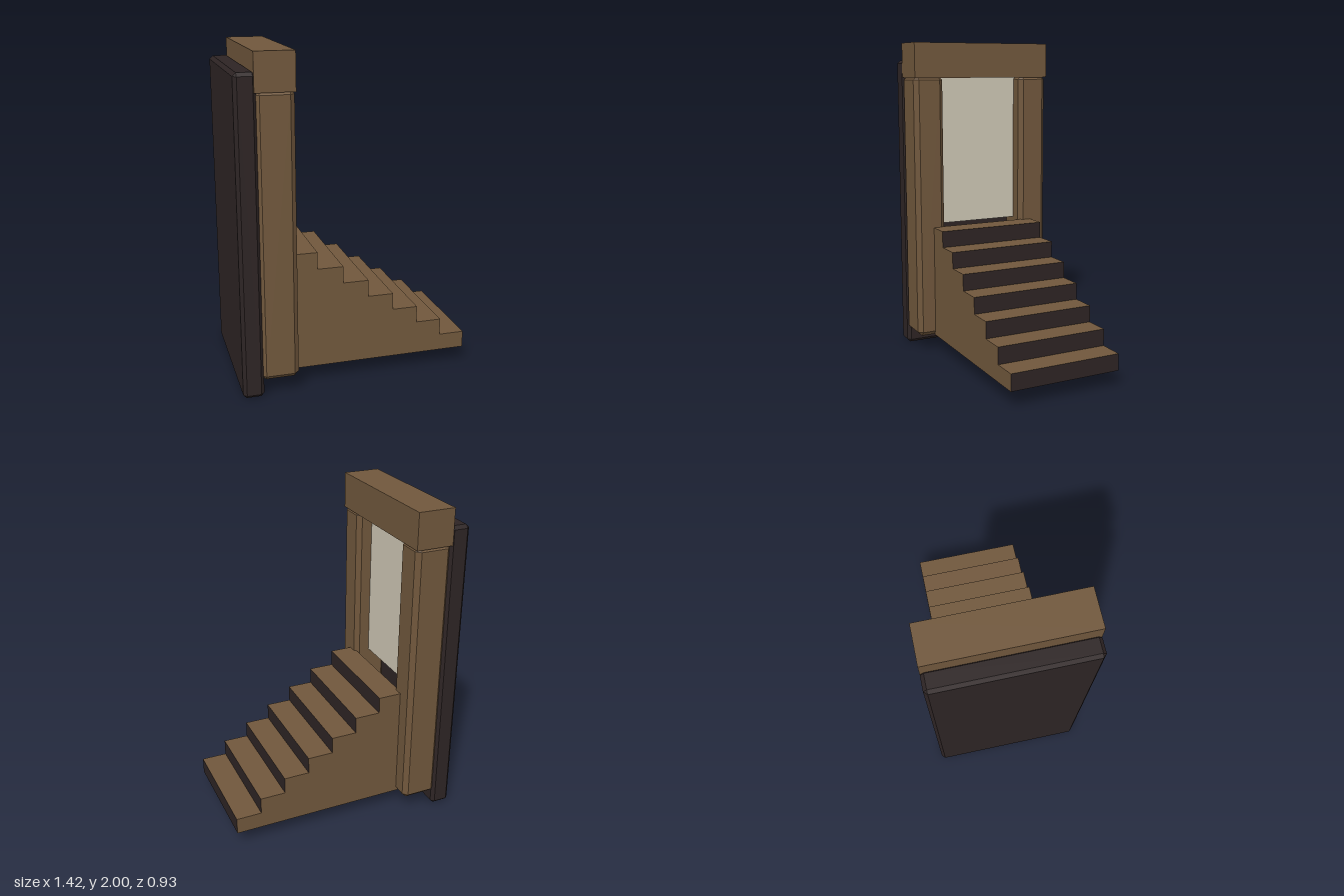
import * as THREE from 'three';
import { ConvexGeometry } from 'three/addons/geometries/ConvexGeometry.js';

function material(name, color) {
  const m = new THREE.MeshStandardMaterial({ color });
  m.name = name;
  return m;
}

// Box between two corners with every edge chamfered by c
function chamferBox([x0, y0, z0], [x1, y1, z1], c) {
  const half = [(x1 - x0) / 2, (y1 - y0) / 2, (z1 - z0) / 2];
  const points = [];
  for (const sx of [-1, 1]) for (const sy of [-1, 1]) for (const sz of [-1, 1]) {
    for (let axis = 0; axis < 3; axis++) {
      const h = half.map((v, i) => (i === axis ? v : v - c));
      points.push(new THREE.Vector3(sx * h[0], sy * h[1], sz * h[2]));
    }
  }
  return new ConvexGeometry(points).translate((x0 + x1) / 2, (y0 + y1) / 2, (z0 + z1) / 2);
}

function box([x0, y0, z0], [x1, y1, z1]) {
  return new THREE.BoxGeometry(x1 - x0, y1 - y0, z1 - z0)
    .translate((x0 + x1) / 2, (y0 + y1) / 2, (z0 + z1) / 2);
}

// Stepped solid; faces pointing along +x (the risers) get material 1
function stairGeometry() {
  const steps = 7, back = -0.39, front = 0.71, base = 0.1, top = 0.822, halfWidth = 0.353;
  const run = (front - back) / steps, rise = (top - base) / steps;
  const shape = new THREE.Shape();
  shape.moveTo(back, base);
  shape.lineTo(front, base);
  for (let i = 0; i < steps; i++) {
    const y = base + rise * (i + 1);
    shape.lineTo(front - run * i, y);
    shape.lineTo(front - run * (i + 1), y);
  }
  const geo = new THREE.ExtrudeGeometry(shape, { depth: 2 * halfWidth, bevelEnabled: false });
  geo.translate(0, 0, -halfWidth);
  geo.clearGroups();
  const normal = geo.attributes.normal;
  for (let i = 0; i < normal.count; i += 3) {
    geo.addGroup(i, 3, normal.getX(i) > 0.5 ? 1 : 0);
  }
  return geo;
}

export function createModel() {
  const wood = material('brown wood', 0x70573c);
  const dark = material('dark wood', 0x2d2424);
  const cream = material('cream panel', 0xcdc6b4);
  const group = new THREE.Group();
  const add = (name, geometry, mat) => {
    const mesh = new THREE.Mesh(geometry, mat);
    mesh.name = name;
    group.add(mesh);
  };

  // Backing slab
  add('backSlab', chamferBox([-0.71, 0, -0.467], [-0.585, 1.89, 0.467], 0.02), dark);

  // Door frame: two chamfered posts and a lintel
  for (const side of [1, -1]) {
    const z = side > 0 ? [0.272, 0.467] : [-0.467, -0.272];
    add(side > 0 ? 'leftPost' : 'rightPost',
      chamferBox([-0.6, 0.1, z[0]], [-0.375, 1.795, z[1]], 0.028), wood);
  }
  add('lintel', box([-0.6, 1.78, -0.467], [-0.372, 2, 0.467]), wood);

  // Pale panel set between the posts
  add('doorPanel', box([-0.49, 0.83, -0.28], [-0.47, 1.79, 0.28]), cream);

  // Staircase with dark risers
  add('stairs', stairGeometry(), [wood, dark]);

  return group;
}
